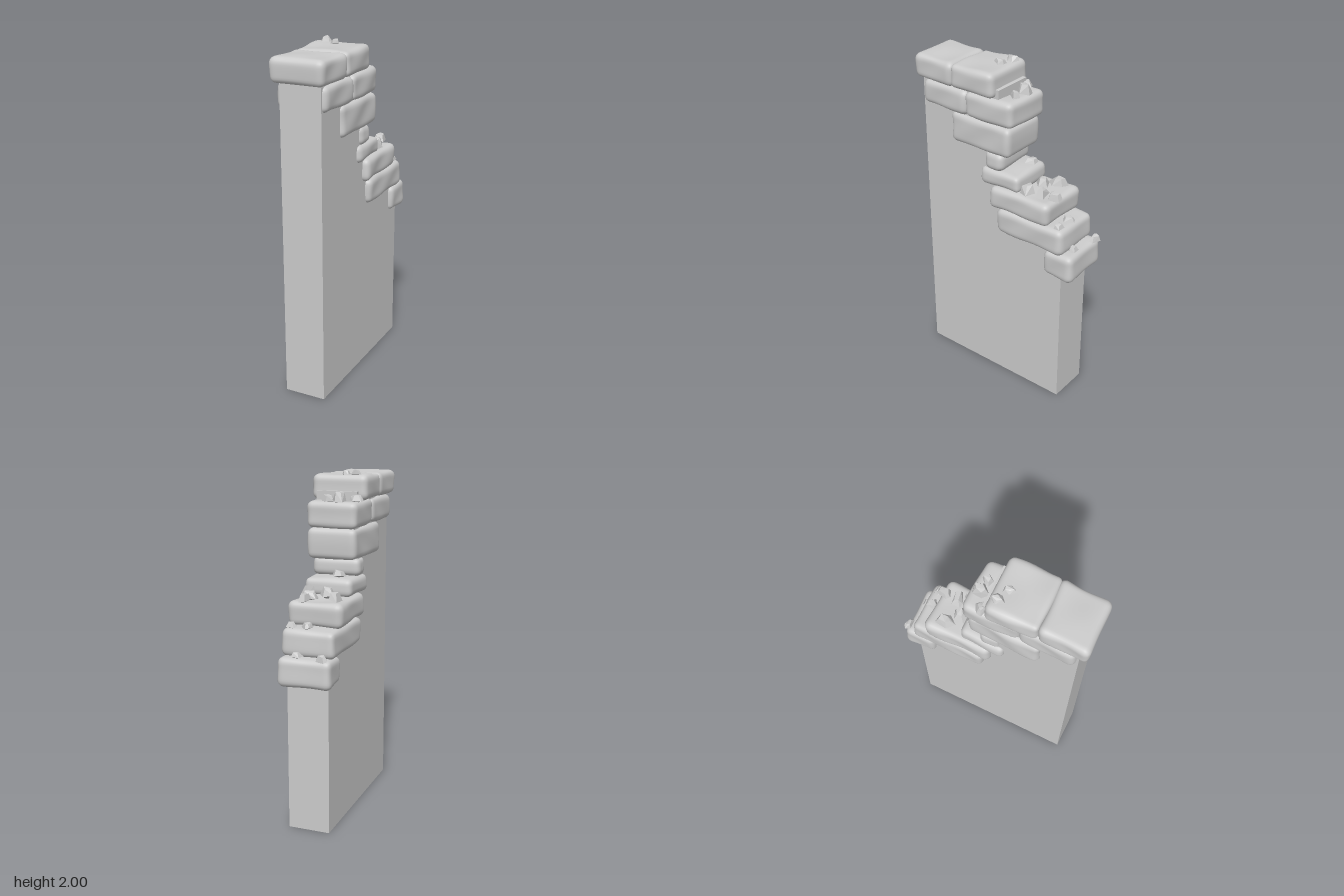
import * as THREE from 'three';
import { mergeVertices } from 'three/addons/utils/BufferGeometryUtils.js';
import { ConvexGeometry } from 'three/addons/geometries/ConvexGeometry.js';

const smoothStone = new THREE.MeshStandardMaterial({ color: 0xcccccc });
const flatStone = new THREE.MeshStandardMaterial({ color: 0xcccccc, flatShading: true });

function seeded(seed) {
  let s = seed * 7919 + 17;
  return () => (s = (s * 16807) % 2147483647) / 2147483647;
}

// Worn block: finely divided box, rounded edges, gentle waves on its faces
function blockGeometry(w, h, d, seed) {
  const seg = (v) => Math.ceil(v / 0.013);
  let geo = new THREE.BoxGeometry(w, h, d, seg(w), seg(h), seg(d));
  geo.deleteAttribute('normal');
  geo.deleteAttribute('uv');
  geo = mergeVertices(geo, 1e-5);
  const pos = geo.attributes.position;
  const r = 0.034;
  const half = new THREE.Vector3(w / 2 - r, h / 2 - r, d / 2 - r);
  const p = new THREE.Vector3();
  const inner = new THREE.Vector3();
  for (let i = 0; i < pos.count; i++) {
    p.fromBufferAttribute(pos, i);
    inner.copy(p).clamp(half.clone().negate(), half);
    const n = p.clone().sub(inner).normalize();
    const wave = Math.sin(p.x * 19 + seed * 2.1) * Math.sin(p.z * 17 + seed * 1.3)
      + 0.6 * Math.sin(p.y * 31 + p.z * 23 + seed * 3.7);
    p.copy(inner).addScaledVector(n, r + 0.004 * wave);
    // slight skew so the ends are not quite square
    p.z += 0.03 * Math.sin(seed * 5) * p.x;
    p.x += 0.03 * Math.cos(seed * 3) * p.z;
    pos.setXYZ(i, p.x, p.y, p.z);
  }
  geo.computeVertexNormals();
  return geo;
}

// Angular chip: hull of an irregular, tapered prism
function rubbleGeometry(w, h, d, seed) {
  const rnd = seeded(seed);
  const points = [];
  for (let i = 0; i < 5; i++) {
    const a = (i + rnd() * 0.6) * Math.PI * 2 / 5;
    const top = 0.4 + 0.4 * rnd();
    const x = Math.cos(a) * w / 2, z = Math.sin(a) * d / 2;
    points.push(new THREE.Vector3(x, h * (0.25 * rnd() - 0.4), z));
    points.push(new THREE.Vector3(x * top, h * (0.5 - 0.3 * rnd()), z * top));
  }
  points.push(new THREE.Vector3(0, -h / 2, 0));
  return new ConvexGeometry(points);
}

export function createModel() {
  const model = new THREE.Group();
  const add = (parent, name, geo, mat, x, y, z) => {
    const mesh = new THREE.Mesh(geo, mat);
    mesh.name = name;
    mesh.position.set(x, y, z);
    parent.add(mesh);
    return mesh;
  };

  // Plain wall slab with a stepped rear edge, drawn as (z, y)
  const outline = [
    [0.51, 0], [0.51, 1.88], [-0.03, 1.88], [-0.03, 1.76], [-0.08, 1.76], [-0.08, 1.59],
    [-0.02, 1.59], [-0.02, 1.35], [-0.13, 1.35], [-0.13, 1.24], [-0.34, 1.24],
    [-0.34, 1.1], [-0.43, 1.1], [-0.43, 0.94], [-0.47, 0.94], [-0.47, 0],
  ];
  const wallShape = new THREE.Shape(outline.map(([z, y]) => new THREE.Vector2(z, y)));
  const wall = new THREE.ExtrudeGeometry(wallShape, { depth: 0.245, bevelEnabled: false });
  wall.translate(0, 0, -0.1225).rotateY(-Math.PI / 2);
  add(model, 'wallSlab', wall, flatStone, 0, 0, 0);

  // Blocks: z front, z back, y bottom, y top, x min, x max
  const blocks = new THREE.Group();
  blocks.name = 'edgeBlocks';
  model.add(blocks);
  [
    [0.555, 0.28, 1.825, 1.965, -0.157, 0.157],
    [0.288, -0.008, 1.83, 1.967, -0.165, 0.163],
    [0.498, 0.18, 1.68, 1.826, -0.15, 0.15],
    [0.19, -0.135, 1.68, 1.826, -0.152, 0.152],
    [0.305, -0.115, 1.5, 1.68, -0.148, 0.148],
    [0.07, -0.052, 1.4, 1.507, -0.143, 0.14],
    [0.095, -0.175, 1.303, 1.403, -0.145, 0.145],
    [0.013, -0.387, 1.17, 1.306, -0.16, 0.157],
    [-0.03, -0.483, 1.02, 1.172, -0.157, 0.155],
    [-0.355, -0.547, 0.865, 1.025, -0.155, 0.152],
  ].forEach(([z0, z1, y0, y1, x0, x1], i) => add(
    blocks, `block${i + 1}`, blockGeometry(x1 - x0, y1 - y0, z0 - z1, i + 1), smoothStone,
    (x0 + x1) / 2, (y0 + y1) / 2, (z0 + z1) / 2));

  // Loose rubble: x, resting y, z, width, height, depth, turn
  const rubble = new THREE.Group();
  rubble.name = 'rubble';
  model.add(rubble);
  [
    [-0.093, 1.96, 0.042, 0.06, 0.04, 0.09, -0.3],
    [-0.022, 1.96, 0.075, 0.05, 0.036, 0.08, 0.4],
    [-0.12, 1.82, -0.035, 0.07, 0.045, 0.09, -0.9],
    [-0.035, 1.82, -0.08, 0.08, 0.065, 0.1, 0.3],
    [0.035, 1.82, -0.075, 0.07, 0.045, 0.06, 0.6],
    [-0.05, 1.408, -0.125, 0.09, 0.045, 0.075, 0],
    [-0.09, 1.3, -0.285, 0.08, 0.06, 0.125, 0.3],
    [0.06, 1.3, -0.285, 0.11, 0.06, 0.075, 0.2],
    [-0.025, 1.3, -0.225, 0.1, 0.08, 0.08, 0.5],
    [0.1, 1.3, -0.215, 0.085, 0.075, 0.085, 0.9],
    [0.06, 1.305, -0.37, 0.075, 0.05, 0.09, 0],
    [0.015, 1.17, -0.437, 0.075, 0.045, 0.07, 0.4],
    [0.108, 1.17, -0.437, 0.065, 0.04, 0.06, 0.1],
    [0.05, 1.02, -0.5, 0.08, 0.04, 0.055, 0.2],
    [-0.108, 1.02, -0.535, 0.08, 0.05, 0.05, -0.4],
  ].forEach(([x, y, z, w, h, d, turn], i) => {
    const chip = add(rubble, `chip${i + 1}`, rubbleGeometry(w, h, d, i + 3), flatStone, x, y + h / 2, z);
    chip.rotation.y = turn;
  });

  return model;
}
